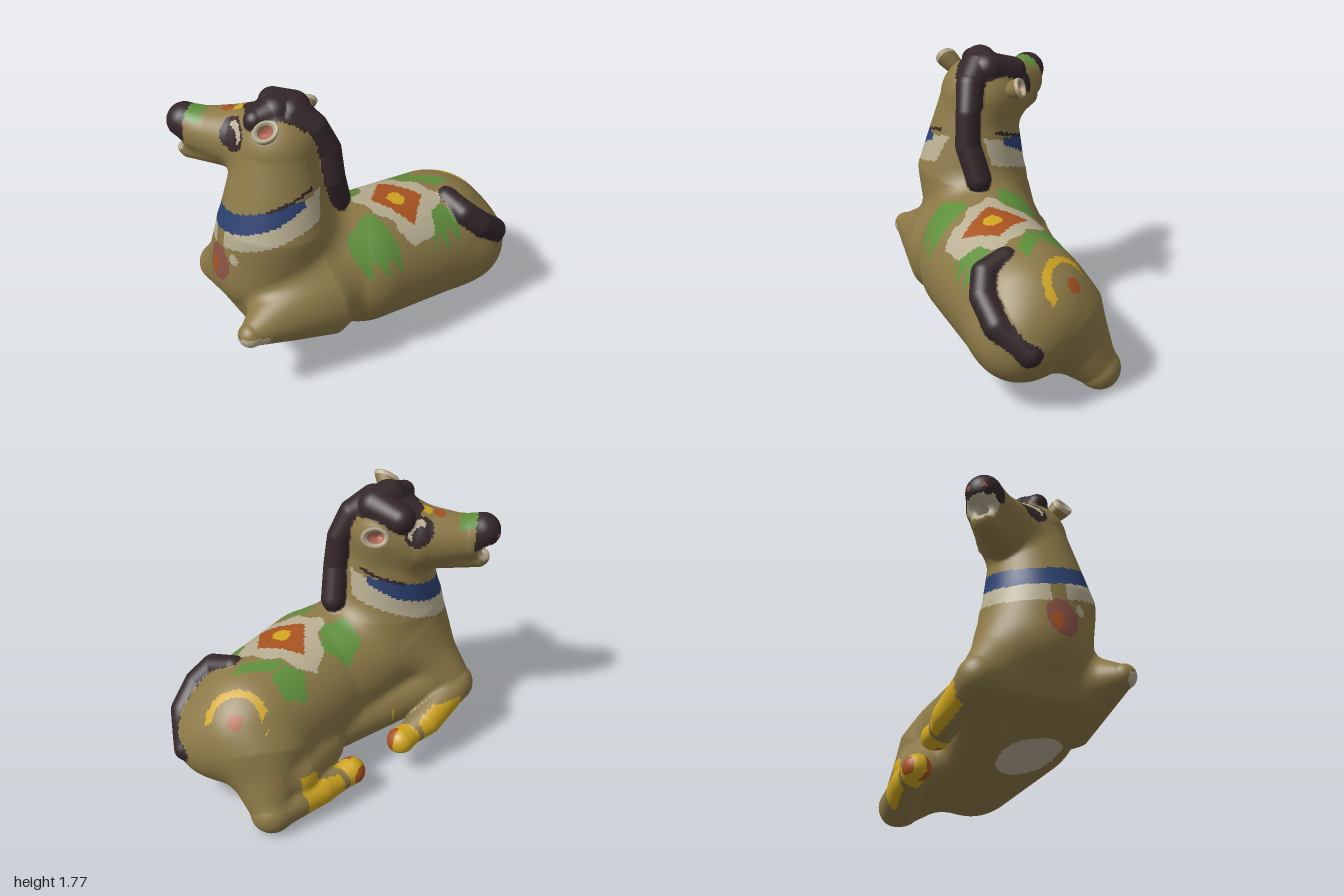
import * as THREE from 'three';

const COLORS = {
  brown: 0x8c7947, dark: 0x34272a, blue: 0x2d4272, cream: 0xb8ae92, green: 0x5f8f3c,
  yellow: 0xcfa51f, orange: 0xa8531f, rose: 0x8a5246, pink: 0xb56c58,
};

// Head frame: a runs forward along the turned head, b to its side.
const HX = -0.936, HZ = 0.352, OX = -0.1, OZ = 0.38;
const head = (a, y, b, r) => [OX + a * HX + b * HZ, y, OZ + a * HZ - b * HX, r];

// Clay rolls: softness of the join, then points [x, y, z, radius]
const clay = (k, ...pts) => ({ k, pts });
const TRUNK = [
  clay(0.08, [0.3, 0.5, -0.55, 0.4], [0.18, 0.56, 0, 0.405], [-0.12, 0.7, 0.49, 0.34]), // torso
  clay(0.13, [-0.06, 1, 0.465, 0.34], [-0.08, 1.48, 0.42, 0.23]),                       // neck
  clay(0.08, [0.28, 0.51, -0.69, 0.27]),                                                // rump
  clay(0.08, [0.14, 0.4, -0.69, 0.28], [-0.01, 0.13, -0.855, 0.125]),                   // right haunch
  clay(0.07, [0.45, 0.44, -0.69, 0.28]),                                                // left haunch
  clay(0.07, [-0.4, 0.42, 0.5, 0.14], [0.05, 0.45, 0.56, 0.21]),                        // brisket
  clay(0.04, [-0.36, 0.42, 0.38, 0.16], [-0.02, 0.33, -0.15, 0.17]),                    // front flank
  clay(0.04, [-0.01, 0.3, -0.62, 0.19], [-0.04, 0.3, -0.34, 0.15]),                     // hind flank
];
const LEGS = [
  clay(0.07, [0.15, 0.53, 0.42, 0.32], [0.16, 0.505, 0.92, 0.075]),                     // left foreleg
  clay(0.07, [-0.23, 0.67, 0.47, 0.27], [-0.54, 0.43, 0.5, 0.125]),                     // right shoulder
  clay(0.025, [-0.55, 0.42, 0.48, 0.11], [-0.5, 0.3, 0.2, 0.1], [-0.45, 0.26, 0.07, 0.078], [-0.43, 0.25, 0, 0.088]),
  clay(0.025, [-0.02, 0.14, -0.85, 0.12], [-0.18, 0.18, -0.56, 0.105], [-0.25, 0.19, -0.43, 0.078], [-0.275, 0.2, -0.36, 0.088]),
];
const HEAD = [
  clay(0.07, head(0, 1.5, 0, 0.225), head(0.18, 1.46, 0, 0.2), head(0.48, 1.46, 0.025, 0.135)),
  clay(0.03, head(0.48, 1.49, 0.03, 0.11), head(0.575, 1.51, 0.04, 0.108)),             // upper lip
  clay(0.03, head(0.3, 1.37, 0.01, 0.12), head(0.55, 1.34, 0.035, 0.078)),              // lower jaw
];
const CLAY = [...TRUNK, ...LEGS, ...HEAD];
const MOUTH = [head(0.75, 1.385, 0.04, 0.085), head(0.54, 1.405, 0.03, 0.03)];
const MOUTH_SIDES = [head(0.62, 1.395, -0.1, 0.042), head(0.62, 1.395, 0.18, 0.042)];
const FORELOCK = [[-0.24, 1.64, 0.28, 0.085], [-0.06, 1.675, 0.3, 0.105], [-0.09, 1.69, 0.41, 0.105], [-0.125, 1.68, 0.54, 0.065]];
const MANE = [[-0.03, 1.67, 0.34, 0.11], [0.08, 1.6, 0.28, 0.085], [0.14, 1.45, 0.22, 0.075],
  [0.155, 1.25, 0.205, 0.078], [0.13, 1.05, 0.13, 0.078]];
const TAIL = [[0.44, 0.84, -0.54, 0.07], [0.58, 0.79, -0.54, 0.08], [0.65, 0.7, -0.62, 0.08],
  [0.66, 0.58, -0.76, 0.08], [0.55, 0.43, -0.91, 0.072]];

const clamp = (v) => Math.min(1, Math.max(0, v));
const smin = (a, b, k) => {
  const h = Math.max(k - Math.abs(a - b), 0) / k;
  return Math.min(a, b) - h * h * k * 0.25;
};
// Distance to a chain of tapered rolls
function roll(pts, x, y, z) {
  let best = 9;
  for (let i = 0; i < Math.max(1, pts.length - 1); i++) {
    const p = pts[i], q = pts[Math.min(i + 1, pts.length - 1)];
    const dx = q[0] - p[0], dy = q[1] - p[1], dz = q[2] - p[2];
    const len = dx * dx + dy * dy + dz * dz || 1;
    const t = clamp(((x - p[0]) * dx + (y - p[1]) * dy + (z - p[2]) * dz) / len);
    const ex = x - p[0] - dx * t, ey = y - p[1] - dy * t, ez = z - p[2] - dz * t;
    best = Math.min(best, Math.sqrt(ex * ex + ey * ey + ez * ez) - p[3] - (q[3] - p[3]) * t);
  }
  return best;
}
const mouth = (x, y, z) => Math.min(roll(MOUTH, x, y, z), roll(MOUTH_SIDES, x, y, z));
const hair = (x, y, z) => Math.min(roll(MANE, x, y, z), roll(FORELOCK, x, y, z));
const ground = (z) => 0.19 + 0.2 * z;

function skin(x, y, z) {
  let d = 9;
  for (const c of CLAY) d = smin(d, roll(c.pts, x, y, z), c.k);
  d = -smin(-d, y - ground(z), 0.04);              // sloping flat underside
  return -smin(-d, mouth(x, y, z), 0.02);          // open mouth
}
const sculpt = (x, y, z) => smin(smin(skin(x, y, z), hair(x, y, z), 0.02), roll(TAIL, x, y, z), 0.02);

const oval = (u, v, cu, cv, ru, rv = ru) => Math.hypot((u - cu) / ru, (v - cv) / rv) < 1;
// Size of the slanted diamond flower through a point, 1 at the petal tips
const flower = ({ x, z }) => Math.hypot(0.9 * (x - 0.285) + 0.43 * (z + 0.235), 0) / 0.32
  + Math.abs(0.95 * (z + 0.235) - 0.3 * (x - 0.285)) / 0.26;
const petalWave = (p) => 0.08 * Math.cos(8 * Math.atan2(p.z + 0.235, p.x - 0.285) + 1);
// Leaf with wavy edge; side leaves hang down in fingers
const leaf = (p, cx, cz, r, turn) =>
  Math.hypot(p.x - cx, p.z - cz) < r * (1 + 0.1 * Math.cos(5 * Math.atan2(p.z - cz, p.x - cx) + turn));
const fingers = (p, from, to) => p.z > from && p.z < to && p.y > 0.72 + 0.055 * Math.cos((p.z - from) * 68);

const fringe = (p) => p.y > 1.62 && p.z > 0.2 && p.x > -0.32 && p.x < 0.14 && p.z < 0.6 - 0.85 * Math.abs(p.x + 0.13);
const collar = (p) => p.y - (1.1 + 0.26 * (p.x + 0.1) - 0.21 * (p.z - 0.8));
const collarReach = (p) => -0.74 * (p.x + 0.07) + 0.67 * (p.z - 0.45);
const rump = (p) => Math.hypot(p.x - 0.2, p.y - 0.75, p.z + 0.89);
const onBack = (p) => p.y > 0.62 && p.z < 0.32;
const onHead = (p) => p.y > 1.22 && p.a > 0.08;
const onChest = (p) => p.z > 0.5;
const onSide = (p) => Math.abs(p.b) > 0.08;
const foreAxis = (p) => -0.43 - 0.26 * p.z, hindAxis = (p) => -0.02 - 0.55 * (p.z + 0.85);
const onFore = (p) => p.y < 0.42 && p.x < -0.34, onHind = (p) => p.y < 0.36 && p.z < -0.2;

// Painted areas, first match wins: [part name, colour, test]
const HEAD_PAINT = [
  ['mane', 'dark', (p) => hair(p.x, p.y, p.z) < 0.006 || fringe(p)],
  ['tail', 'dark', (p) => roll(TAIL, p.x, p.y, p.z) < 0.006],
  ['nostrils', 'rose', (p) => p.a > 0.6 && oval(Math.abs(p.b - 0.04), p.y, 0.05, 1.505, 0.016)],
  ['lips', 'cream', (p) => p.a > 0.47 && p.y < 1.46 && p.y > 1.3 && mouth(p.x, p.y, p.z) < 0.022],
  ['muzzle', 'dark', (p) => p.a > 0.54 && p.y > 1.43],
  ['noseBand', 'green', (p) => onHead(p) && p.a > 0.44 && p.y > 1.565],
  ['browDot', 'yellow', (p) => onHead(p) && p.y > 1.5 && oval(p.x, p.z, -0.33, 0.455, 0.034)],
  ['foreheadDot', 'orange', (p) => onHead(p) && p.y > 1.5 && oval(p.x, p.z, -0.395, 0.485, 0.038)],
  ['eyeGlints', 'cream', (p) => onSide(p) && oval(p.a, p.y, 0.2, 1.575, 0.055) && !oval(p.a, p.y, 0.225, 1.545, 0.055)],
  ['eyes', 'dark', (p) => onSide(p) && oval(p.a, p.y, 0.21, 1.565, 0.085, 0.08)],
];
const CHEST_PAINT = [
  ['collarEdge', 'dark', (p) => Math.abs(collar(p) - 0.05) < 0.01 && collarReach(p) > -0.22 && collarReach(p) < 0.04],
  ['collar', 'blue', (p) => collarReach(p) > -0.18 && Math.abs(collar(p)) < 0.056 * clamp(0.4 + (collarReach(p) + 0.18) * 4)],
  ['collarTrim', 'cream', (p) => collar(p) < 0.01 && collar(p) > -0.16 && collarReach(p) > -0.26
    && !(onChest(p) && Math.abs(p.x + 0.2) < 0.045)],
  ['chestHeart', 'orange', (p) => onChest(p) && oval(p.x, p.y, -0.23, 0.77, 0.035, 0.052)],
  ['chestFlower', 'rose', (p) => onChest(p) && oval(p.x, p.y, -0.195, 0.8, 0.095, 0.12)],
  ['chestDot', 'cream', (p) => onChest(p) && oval(p.x, p.y, -0.065, 0.875, 0.034)],
  ['kneePatch', 'cream', (p) => p.z > 0.85 && oval(p.x, p.y, 0.2, 0.48, 0.07, 0.042)],
  ['bellyPatch', 'cream', (p) => p.y < ground(p.z) + 0.03 && oval(p.x, p.z, 0.13, 0.18, 0.17, 0.22)],
];
const BACK_PAINT = [
  ['flowerCentre', 'yellow', (p) => onBack(p) && oval(p.x, p.z, 0.29, -0.225, 0.056)],
  ['flowerHeart', 'orange', (p) => onBack(p) && flower(p) < 0.64],
  ['flowerPetals', 'cream', (p) => onBack(p) && p.y > 0.765 && flower(p) < 1.1 + petalWave(p)],
  ['leaves', 'green', (p) => onBack(p) && (leaf(p, -0.02, -0.06, 0.12, 0) || leaf(p, 0.06, -0.5, 0.1, 3)
    || (leaf(p, 0.45, 0.12, 0.17, 1) && fingers(p, 0, 0.28)) || (leaf(p, 0.58, -0.36, 0.13, 2) && fingers(p, -0.47, -0.25))
    || (Math.abs(p.z + 0.54 + 0.75 * (p.x - 0.27)) < 0.055 && Math.abs(p.x - 0.26) < 0.1))],
  ['rumpDot', 'orange', (p) => rump(p) < 0.055],
  ['rumpArc', 'yellow', (p) => Math.abs(rump(p) - 0.18) < 0.025 && p.y > 0.55
    && p.z > -0.87 - 0.25 * (p.x - 0.2) && Math.abs(p.x - 0.055) > 0.02],
];
const LEG_PAINT = [
  ['frontHoofTip', 'orange', (p) => onFore(p) && p.z < 0 && p.x > -0.42],
  ['frontHoof', 'yellow', (p) => onFore(p) && p.z < 0.055],
  ['frontShin', 'yellow', (p) => onFore(p) && p.z > 0.085 && p.z < 0.4 && p.x < foreAxis(p) - 0.045],
  ['hindHoofTip', 'orange', (p) => onHind(p) && p.z > -0.36 && p.x > -0.265 && p.x < -0.2],
  ['hindHoof', 'yellow', (p) => onHind(p) && p.z > -0.45 && p.x < -0.2],
  ['hindShin', 'yellow', (p) => onHind(p) && p.z > -0.74 && p.z < -0.49 && p.x < hindAxis(p) - 0.05],
];
const PAINT = [...HEAD_PAINT, ...CHEST_PAINT, ...BACK_PAINT, ...LEG_PAINT];

// Skins the sculpted volume with quads and sorts them by painted part
function skinParts() {
  const step = 0.0145, min = [-0.83, -0.05, -1.05], n = [112, 132, 146];
  const stride = [1, n[0], n[0] * n[1]], total = n[0] * n[1] * n[2];
  const f = new Float32Array(total).fill(1), cell = new Int32Array(total).fill(-1);
  const each = (from, fn) => {
    for (let k = from; k < n[2] - 1; k++) for (let j = from; j < n[1] - 1; j++)
      for (let i = from; i < n[0] - 1; i++) fn([i, j, k], i + j * stride[1] + k * stride[2]);
  };
  each(0, (c, id) => { f[id] = sculpt(...c.map((v, m) => min[m] + v * step)); });
  const pos = [], nor = [];
  const slope = (p) => {
    const shifted = (m, e) => sculpt(...p.map((v, w) => (w === m ? v + e : v)));
    return new THREE.Vector3(...[0, 1, 2].map((m) => shifted(m, 0.004) - shifted(m, -0.004))).normalize().toArray();
  };
  each(0, (c, id) => {
    const sum = [0, 0, 0];
    let hits = 0;
    for (let m = 0; m < 3; m++) for (let o = 0; o < 4; o++) {
      const u = (m + 1) % 3, v = (m + 2) % 3, du = o & 1, dv = o >> 1;
      const s = id + du * stride[u] + dv * stride[v], A = f[s], B = f[s + stride[m]];
      if ((A < 0) === (B < 0)) continue;
      sum[m] += A / (A - B); sum[u] += du; sum[v] += dv; hits++;
    }
    if (!hits) return;
    const p = c.map((v, m) => min[m] + (v + sum[m] / hits) * step);
    const g = slope(p), d = Math.max(-0.007, Math.min(0.007, sculpt(...p)));
    cell[id] = pos.length / 3;
    pos.push(...p.map((v, m) => v - g[m] * d));
    nor.push(...g);
  });
  const parts = new Map();
  each(1, (c, id) => {
    for (let m = 0; m < 3; m++) {
      const inside = f[id] < 0;
      if (inside === (f[id + stride[m]] < 0)) continue;
      const u = stride[(m + 1) % 3], v = stride[(m + 2) % 3];
      const q = [id - u - v, id - v, id, id - u].map((s) => cell[s]);
      if (!inside) q.reverse();
      const [x, y, z] = [0, 1, 2].map((w) => q.reduce((t, i) => t + pos[i * 3 + w], 0) / 4);
      const p = { x, y, z, a: (x - OX) * HX + (z - OZ) * HZ, b: (x - OX) * HZ - (z - OZ) * HX };
      const [name, color] = PAINT.find((t) => t[2](p)) || ['body', 'brown'];
      if (!parts.has(name)) parts.set(name, { color, index: [] });
      parts.get(name).index.push(q[0], q[1], q[2], q[0], q[2], q[3]);
    }
  });
  return { pos, nor, parts };
}

export function createModel() {
  const group = new THREE.Group(), mats = {};
  for (const name in COLORS) {
    mats[name] = new THREE.MeshStandardMaterial({ color: COLORS[name] });
    mats[name].name = name;
  }
  const add = (parent, name, geo, color) => {
    const mesh = new THREE.Mesh(geo, mats[color]);
    mesh.name = name;
    parent.add(mesh);
  };
  const { pos, nor, parts } = skinParts();
  for (const [name, { color, index }] of parts) {
    const geo = new THREE.BufferGeometry().setIndex(index);
    geo.setAttribute('position', new THREE.Float32BufferAttribute(pos, 3));
    geo.setAttribute('normal', new THREE.Float32BufferAttribute(nor, 3));
    add(group, name, geo.toNonIndexed(), color);
  }
  // Cupped ears, flattened and slanted towards the tip: outside, pale rim, pink hollow
  const slant = new THREE.Matrix4().makeShear(0.5, 0, 0, 0, 0, 0).scale(new THREE.Vector3(1, 1, 0.8));
  const cup = (...pts) => new THREE.LatheGeometry(pts.map(([r, y]) => new THREE.Vector2(r, y)), 24).applyMatrix4(slant);
  const ear = (name, rim, axis, tip) => {
    const e = new THREE.Group(), y = new THREE.Vector3(...axis).normalize();
    const z = new THREE.Vector3(...tip).cross(y).normalize();
    e.name = name;
    add(e, 'earBack', cup([0.03, -0.2], [0.05, -0.13], [0.07, -0.07], [0.078, -0.025]), 'brown');
    add(e, 'earRim', cup([0.078, -0.025], [0.078, -0.006], [0.07, 0.006], [0.058, 0], [0.046, -0.02]), 'cream');
    add(e, 'earHollow', cup([0.046, -0.02], [0.035, -0.05], [0, -0.07]), 'pink');
    e.quaternion.setFromRotationMatrix(new THREE.Matrix4().makeBasis(y.clone().cross(z), y, z));
    e.position.set(...rim);
    group.add(e);
  };
  ear('leftEar', [0.03, 1.705, 0.615], [0.4, 0.65, 0.5], [0.6, 0.2, -0.6]);
  ear('rightEar', [-0.17, 1.585, 0.095], [-0.2, 0.35, -0.85], [0.7, 0.1, -0.4]);
  return group;
}
